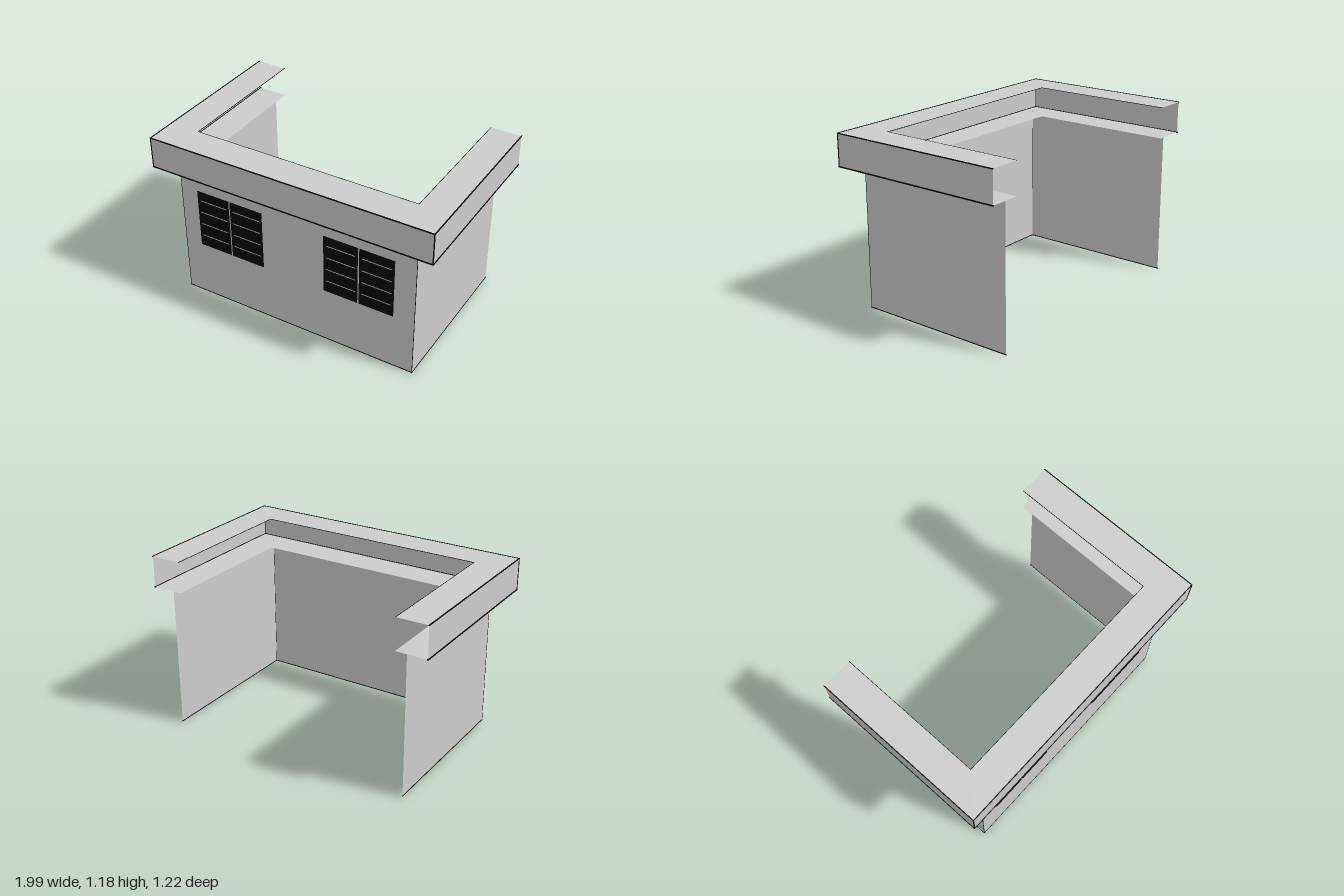
import * as THREE from 'three';

export function createModel() {
  const model = new THREE.Group();
  const grey = new THREE.MeshStandardMaterial({ color: 0xcccccc, side: THREE.DoubleSide });
  grey.name = 'plaster grey';
  const black = new THREE.MeshStandardMaterial({ color: 0x080808 });
  black.name = 'trim black';

  const add = (name, geometry, material) => {
    const mesh = new THREE.Mesh(geometry, material);
    mesh.name = name;
    model.add(mesh);
    return mesh;
  };

  // Three upright sheets around an open back
  const sheets = (name, x0, x1, front, back, y0, y1) => {
    const h = y1 - y0, y = (y0 + y1) / 2, depth = front - back;
    add(name + 'Front', new THREE.PlaneGeometry(x1 - x0, h), grey).position.set((x0 + x1) / 2, y, front);
    for (const [side, x, turn] of [['Left', x1, 1], ['Right', x0, -1]]) {
      const sheet = add(name + side, new THREE.PlaneGeometry(depth, h), grey);
      sheet.rotation.y = turn * Math.PI / 2;
      sheet.position.set(x, y, (front + back) / 2);
    }
  };

  // Thin black trim between two points along one axis
  const trim = (name, a, b, t) => {
    const size = a.map((v, i) => Math.abs(b[i] - v) + t);
    add(name, new THREE.BoxGeometry(...size), black).position.set(...a.map((v, i) => (v + b[i]) / 2));
  };
  const trimU = (name, x0, x1, front, back, y, t) => {
    trim(name + 'Front', [x0, y, front], [x1, y, front], t);
    trim(name + 'Left', [x1, y, front], [x1, y, back], t);
    trim(name + 'Right', [x0, y, front], [x0, y, back], t);
  };

  // Walls and the tall band overhanging them
  const W = [-0.848, 0.855, 0.52, -0.583];
  const E = [-0.992, 0.99, 0.605, -0.605];
  const low = 0.963, high = 1.173;
  sheets('wall', ...W, 0, low);
  sheets('fascia', ...E, low, high);

  // U-shaped plates closing the band above and below
  const inner = 0.782, innerFront = 0.39;
  const [x0, x1, front, back] = E;
  const outline = [[x0, back], [x0, front], [x1, front], [x1, back],
    [inner, back], [inner, innerFront], [-inner, innerFront], [-inner, back]];
  const plate = new THREE.ShapeGeometry(new THREE.Shape(outline.map(([x, z]) => new THREE.Vector2(x, -z))));
  plate.rotateX(-Math.PI / 2);
  add('roofPlate', plate, grey).position.y = high;
  add('soffitPlate', plate, grey).position.y = low;

  // Dark edges
  trimU('fasciaTopEdge', ...E, high, 0.006);
  trimU('fasciaBottomEdge', ...E, low, 0.008);
  trimU('wallBaseEdge', ...W, 0.005, 0.005);
  for (const x of [x0, x1]) trim('fasciaCorner', [x, low, front], [x, high, front], 0.006);
  for (const x of [W[0], W[1]]) trim('wallCorner', [x, 0, W[2]], [x, low, W[2]], 0.003);
  trimU('roofInnerEdge', -inner, inner, innerFront, back, high, 0.003);

  // Shuttered windows: two dark leaves, each with four open slits
  const leafW = 0.24, leafH = 0.42;
  const rect = (Type, x, y, w, h) => new Type([[x, y], [x + w, y], [x + w, y + h], [x, y + h]]
    .map((p) => new THREE.Vector2(...p)));
  const leaf = rect(THREE.Shape, 0, 0, leafW, leafH);
  for (let i = 0; i < 4; i++) {
    leaf.holes.push(rect(THREE.Path, 0.016, 0.076 + i * 0.09, leafW - 0.032, 0.01));
  }
  const leafGeometry = new THREE.ExtrudeGeometry(leaf, { depth: 0.004, bevelEnabled: false });
  for (const left of [-0.722, 0.22]) {
    for (const step of [0, leafW + 0.011]) {
      add('shutterLeaf', leafGeometry, black).position.set(left + step, 0.4, W[2] + 0.001);
    }
  }

  return model;
}
